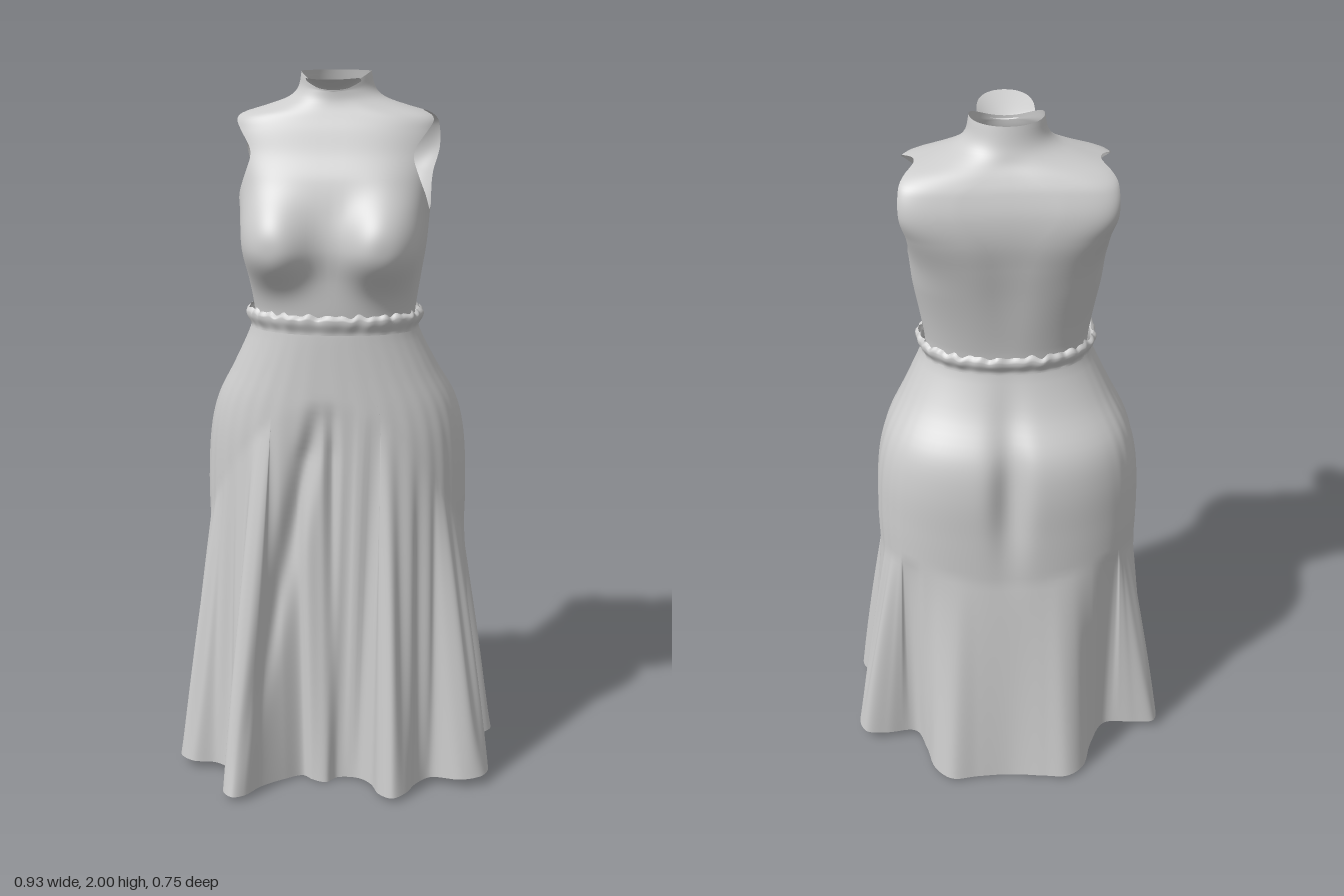
import * as THREE from 'three';
import { mergeVertices } from 'three/addons/utils/BufferGeometryUtils.js';

const cloth = new THREE.MeshStandardMaterial({ color: 0xcccccc, side: THREE.DoubleSide });
cloth.name = 'grey cloth';

// Smooth surface from fn(u, v); cut(p) > 0 keeps a point, triangles are clipped at cut = 0
function surface(name, fn, nu, nv, cut) {
  const out = [];
  const addTri = (tri) => {
    if (!cut) return tri.forEach((p) => out.push(p.x, p.y, p.z));
    const poly = [];
    tri.forEach((p, i) => {
      const q = tri[(i + 1) % 3], a = cut(p), b = cut(q);
      if (a >= 0) poly.push(p);
      if (a * b < 0) poly.push(p.clone().lerp(q, a / (a - b)));
    });
    for (let i = 2; i < poly.length; i++) {
      [poly[0], poly[i - 1], poly[i]].forEach((p) => out.push(p.x, p.y, p.z));
    }
  };
  const grid = [];
  for (let j = 0; j <= nv; j++) {
    grid.push([]);
    for (let i = 0; i <= nu; i++) grid[j].push(fn(i / nu, j / nv));
  }
  for (let j = 0; j < nv; j++) {
    for (let i = 0; i < nu; i++) {
      const a = grid[j][i], b = grid[j][i + 1], c = grid[j + 1][i + 1], d = grid[j + 1][i];
      addTri([a, b, c]);
      addTri([a, c, d]);
    }
  }
  const geo = new THREE.BufferGeometry();
  geo.setAttribute('position', new THREE.Float32BufferAttribute(out, 3));
  const merged = mergeVertices(geo, 1e-5);
  merged.computeVertexNormals();
  const mesh = new THREE.Mesh(merged, cloth);
  mesh.name = name;
  return mesh;
}

// Smooth lookup in a table of rows [y, halfWidth, front, back, frontSquareness, backSquareness], y rising
function sample(rows, y) {
  let i = 0;
  while (i < rows.length - 2 && y > rows[i + 1][0]) i++;
  const a = rows[i], b = rows[i + 1];
  const p = rows[Math.max(i - 1, 0)], q = rows[Math.min(i + 2, rows.length - 1)];
  const h = b[0] - a[0], t = THREE.MathUtils.clamp((y - a[0]) / h, 0, 1);
  return a.map((av, k) => {
    const m0 = ((b[k] - p[k]) / (b[0] - p[0])) * h, m1 = ((q[k] - av) / (q[0] - a[0])) * h;
    const t2 = t * t, t3 = t2 * t;
    return (2 * t3 - 3 * t2 + 1) * av + (t3 - 2 * t2 + t) * m0 + (3 * t2 - 2 * t3) * b[k] + (t3 - t2) * m1;
  });
}

// Point on a rounded cross-section; angle 0 is the front, rising towards +x
function section([y, rx, zf, zb, nf, nb], angle) {
  const n = Math.cos(angle) > 0 ? nf : nb;
  const pow = (s) => Math.sign(s) * Math.abs(s) ** (2 / n);
  const zc = (zf + zb) / 2, rz = (zf - zb) / 2;
  return new THREE.Vector3(rx * pow(Math.sin(angle)), y, zc + rz * pow(Math.cos(angle)));
}

const bodiceRows = [
  [1.33, 0.222, 0.15, -0.13, 2.3, 2.3], [1.37, 0.226, 0.155, -0.135, 2.3, 2.3],
  [1.45, 0.238, 0.162, -0.15, 2.7, 2.4], [1.54, 0.252, 0.17, -0.168, 3.3, 2.7],
  [1.64, 0.26, 0.16, -0.19, 3.3, 3.2], [1.72, 0.272, 0.14, -0.204, 3.2, 4.5],
  [1.79, 0.286, 0.108, -0.202, 3.2, 7], [1.85, 0.284, 0.085, -0.183, 3.2, 7],
  [1.885, 0.265, 0.07, -0.163, 3, 4], [1.91, 0.19, 0.06, -0.145, 2.4, 2.6],
  [1.93, 0.135, 0.055, -0.135, 2.1, 2.1], [1.955, 0.107, 0.054, -0.125, 2, 2],
  [2.0, 0.095, 0.055, -0.113, 2, 2],
];
const hipRows = [
  [0.7, 0.37, 0.19, -0.288, 2.4, 2.4], [0.85, 0.372, 0.19, -0.289, 2.4, 2.4],
  [1.0, 0.362, 0.19, -0.287, 2.4, 2.4], [1.1, 0.337, 0.185, -0.264, 2.4, 2.4],
  [1.2, 0.285, 0.18, -0.197, 2.3, 2.3], [1.31, 0.234, 0.175, -0.15, 2.2, 2.2],
  [1.345, 0.232, 0.172, -0.148, 2.2, 2.2],
];
// Wavy hem outline as [x, z], from the front centre round by +x
const hemPoints = [
  [0, 0.225], [0.03, 0.195], [0.09, 0.2], [0.13, 0.235], [0.16, 0.295], [0.2, 0.32],
  [0.235, 0.29], [0.26, 0.235], [0.3, 0.195], [0.39, 0.21], [0.45, 0.185], [0.464, 0.13],
  [0.42, 0.065], [0.39, 0], [0.415, -0.06], [0.465, -0.12], [0.445, -0.18], [0.38, -0.185],
  [0.29, -0.175], [0.255, -0.25], [0.23, -0.33], [0.18, -0.373], [0.1, -0.362], [0, -0.353],
  [-0.1, -0.368], [-0.17, -0.375], [-0.22, -0.34], [-0.25, -0.25], [-0.3, -0.165],
  [-0.39, -0.17], [-0.455, -0.17], [-0.465, -0.115], [-0.41, -0.05], [-0.38, 0],
  [-0.39, 0.055], [-0.438, 0.11], [-0.44, 0.16], [-0.4, 0.19], [-0.33, 0.185],
  [-0.275, 0.225], [-0.272, 0.29], [-0.28, 0.345], [-0.25, 0.373], [-0.217, 0.355],
  [-0.18, 0.295], [-0.12, 0.235], [-0.07, 0.2], [-0.04, 0.218],
];
const hem = new THREE.CatmullRomCurve3(hemPoints.map(([x, z]) => new THREE.Vector3(x, 0, z)), true);
const bell = (x, width) => Math.exp(-((x / width) ** 2));

function bodicePoint(u, v) {
  const y = 1.33 + 0.67 * v, angle = u * Math.PI * 2;
  const p = section(sample(bodiceRows, y), angle);
  const front = Math.max(0, Math.cos(angle));
  // bust, rounded domes with a soft upper slope
  const r = Math.hypot((y - 1.54) / (y > 1.54 ? 0.125 : 0.1), (Math.abs(p.x) - 0.155) / 0.105);
  p.z += 0.066 * Math.exp(-(r ** 2.8)) * Math.min(1, front * 2.5);
  // hollow along the spine
  if (Math.cos(angle) < 0) p.z += 0.008 * bell(p.x, 0.06) * Math.sin(Math.PI * v);
  // neckline dips at the front
  p.y -= 0.04 * front * front * THREE.MathUtils.smoothstep(y, 1.94, 2.0);
  return p;
}

// Positive outside the armholes
function outsideArmhole(p) {
  if (Math.abs(p.x) < 0.12) return 1;
  const a = (p.z + 0.04) / 0.13, b = (p.y - 1.765) / 0.129;
  return a * a + b * b + 0.4 * a * b - 1;
}

function skirtPoint(u, v) {
  const h = hem.getPoint(u % 1);
  h.y = 0.03 * Math.min(1, Math.abs(h.x) / 0.46);
  const angle = Math.atan2(h.x / 0.46, h.z / 0.32), c = Math.cos(angle);
  const y = 1.345 + (h.y - 1.345) * v;
  // folds start higher at the front than at the sides and back
  const start = 0.72 + 0.4 * Math.max(0, c) ** 2 + 0.025 * Math.min(0, c) * Math.cos(angle * 4);
  const p = section(sample(hipRows, Math.max(y, start)), angle);
  p.y = y;
  // cleft of the seat
  if (c < 0) p.z += 0.035 * bell(p.x, 0.045) * bell(y - 1.0, 0.2);
  const t = Math.max(0, (start - y) / (start - h.y));
  // hollows between the folds deepen sooner than the folds flare out
  const reach = Math.hypot(h.x, h.z) < Math.hypot(p.x, p.z) ? t ** 0.6 : t;
  p.x += (h.x - p.x) * reach;
  p.z += (h.z - p.z) * reach;
  // centre crease and a slanting fold on the front
  if (c > 0) {
    const fade = Math.min(1, t * 8) * (1 - t);
    p.z -= fade * (0.03 * bell(p.x - 0.012, 0.018) + 0.035 * bell(p.x + 0.03 + 0.2 * (1.1 - y), 0.03));
  }
  // fine pleats, fading out over the back panel
  const mask = THREE.MathUtils.smoothstep(c, -0.75, -0.3);
  const k = 1 + mask * Math.sin(angle * 34) * (0.004 * Math.sin(Math.PI * v) + 0.05 * t * (1 - t));
  p.x *= k;
  p.z *= k;
  return p;
}

// Gathered edge flaring out of the skirt top and rolling in towards the bodice
function rufflePoint(u, v) {
  const a = u * Math.PI * 2;
  const wave = Math.sin(a * 13) + Math.sin(a * 29 + 1);
  const flare = THREE.MathUtils.smoothstep(v, 0, 0.7) - THREE.MathUtils.smoothstep(v, 0.8, 1.1);
  const out = 0.001 + 0.013 * flare + 0.0025 * wave * v;
  const y = 1.31 + 0.053 * v;
  const [, rx, zf, zb, nf, nb] = sample(hipRows, y);
  const lift = 0.003 * (Math.sin(a * 23) + Math.sin(a * 37 + 2)) * v * v;
  return section([y + lift, rx + out, zf + out, zb - out, nf, nb], a);
}

// Tongue-shaped collar lip folding forward from the neck, its sides curling up
function lipPoint(u, v) {
  const s = u * 2 - 1;
  const w = 0.074 * Math.sqrt(Math.max(0, 1 - v ** 2.4));
  const z = 0.052 + 0.116 * v - 0.016 * s * s * (1 - v);
  return new THREE.Vector3(-s * w, 1.95 + 0.035 * v ** 0.6 + 0.026 * s * s * (1 - v), z);
}

export function createModel() {
  const dress = new THREE.Group();
  dress.name = 'dress';
  dress.add(
    surface('bodice', bodicePoint, 160, 100, outsideArmhole),
    surface('collarLip', lipPoint, 16, 20),
    surface('waistRuffle', rufflePoint, 240, 12),
    surface('skirt', skirtPoint, 432, 64),
  );
  return dress;
}
